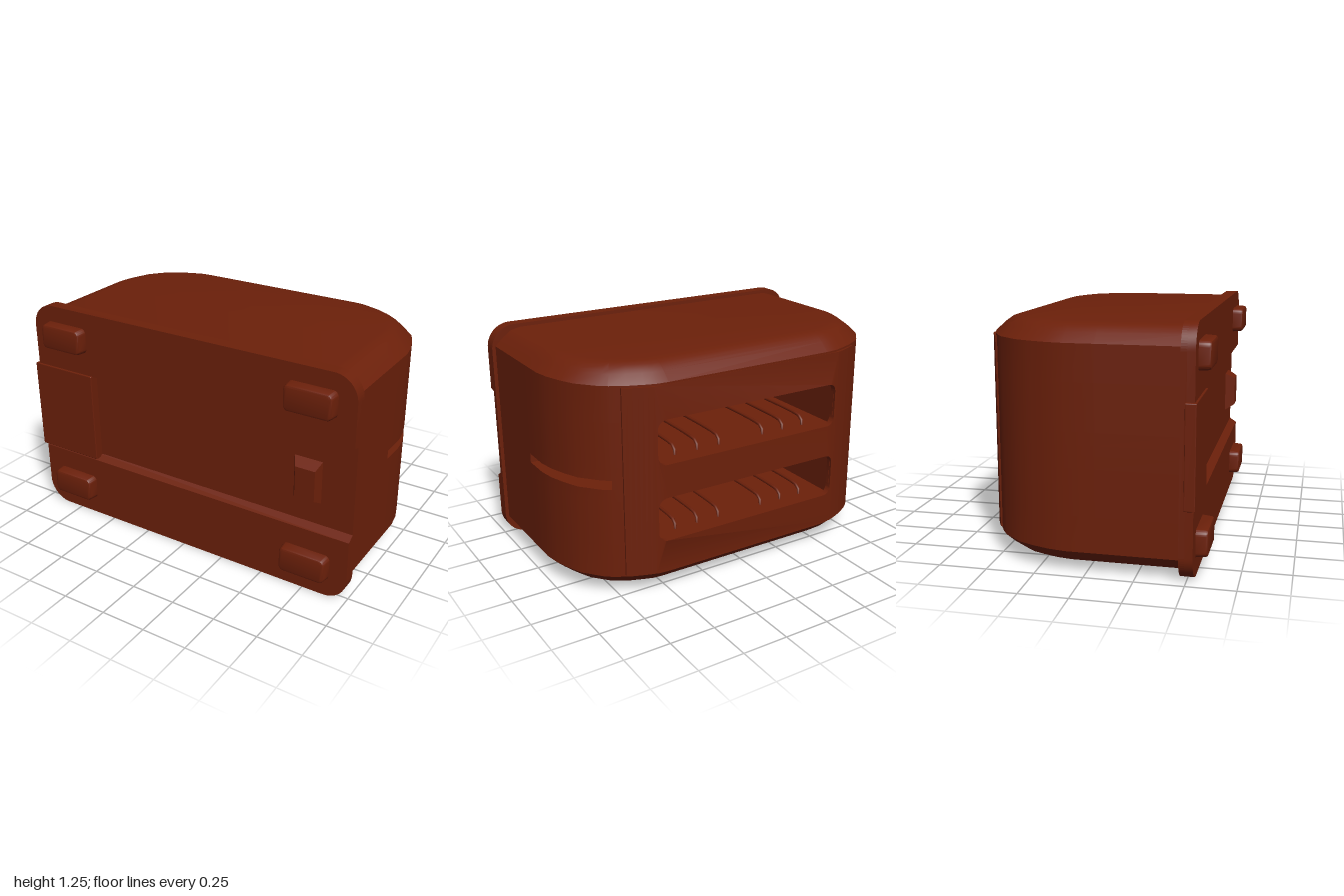
import * as THREE from 'three';
import { toCreasedNormals } from 'three/addons/utils/BufferGeometryUtils.js';

const CX = 0.0075, CY = 0.63;
const mat = new THREE.MeshStandardMaterial({ color: 0x6c200a });

// Half of the body outline seen along y (x, z), from base to slot side
const half = [[0.98, 0.465], [0.98, 0.055], [0.98, 0.05], [0.98, -0.1], [0.965, -0.19], [0.935, -0.28],
  [0.9, -0.36], [0.815, -0.46], [0.782, -0.484], [0.775, -0.489], [0.70, -0.53], [0.62, -0.56],
  [0.565, -0.577], [0.5, -0.583]];
const outline = [...half, ...half.map(([x, z]) => [2 * CX - x, z]).reverse()];
const SLOTS = [[0.30, 0.54], [0.72, 0.96]];
const SLIT = [0.605, 0.655];

// Outline point i moved inwards by d
function insetPoint(i, d) {
  const a = outline[Math.max(i - 1, 0)], b = outline[Math.min(i + 1, outline.length - 1)];
  const dx = b[0] - a[0], dz = b[1] - a[1], l = Math.hypot(dx, dz);
  return [outline[i][0] + dz / l * d, outline[i][1] - dx / l * d];
}

// Surface following outline points i0..i1 through rows of [y, inset]
function loft(i0, i1, rows, insetAt, skip, caps) {
  const n = i1 - i0 + 1, pos = [], idx = [];
  rows.forEach(([y, d]) => {
    for (let i = i0; i <= i1; i++) {
      const [x, z] = insetPoint(i, insetAt(i, d));
      pos.push(x, y, z);
    }
  });
  const quad = (a, b, c, d) => idx.push(a, b, c, a, c, d);
  for (let j = 0; j < rows.length - 1; j++) {
    for (let i = 0; i < n - 1; i++) {
      if (skip(i, (rows[j][0] + rows[j + 1][0]) / 2)) continue;
      quad(j * n + i, j * n + i + 1, (j + 1) * n + i + 1, (j + 1) * n + i);
    }
  }
  if (caps) {
    const t = (rows.length - 1) * n;
    for (let i = 0; i < n / 2 - 1; i++) {
      quad(t + i, t + i + 1, t + n - 2 - i, t + n - 1 - i);
      quad(n - 1 - i, n - 2 - i, i + 1, i);
    }
  }
  const g = new THREE.BufferGeometry();
  g.setAttribute('position', new THREE.Float32BufferAttribute(pos, 3));
  g.setIndex(idx);
  return toCreasedNormals(g, 0.6);
}

// Rounded rectangle; r = [bottom left, bottom right, top right, top left]
function roundRect(s, x0, y0, x1, y1, r) {
  const [a, b, c, d] = Array.isArray(r) ? r : [r, r, r, r], P = Math.PI;
  s.moveTo(x0 + a, y0).lineTo(x1 - b, y0);
  if (b) s.absarc(x1 - b, y0 + b, b, -P / 2, 0);
  s.lineTo(x1, y1 - c);
  if (c) s.absarc(x1 - c, y1 - c, c, 0, P / 2);
  s.lineTo(x0 + d, y1);
  if (d) s.absarc(x0 + d, y1 - d, d, P / 2, P);
  s.lineTo(x0, y0 + a);
  if (a) s.absarc(x0 + a, y0 + a, a, P, P * 1.5);
  return s;
}

// Extrude a shape between z0 and z1, keeping bevels inside its size
function slab(shape, z0, z1, bevel = 0) {
  const g = new THREE.ExtrudeGeometry(shape, {
    depth: z1 - z0 - 2 * bevel, curveSegments: 8, bevelEnabled: bevel > 0,
    bevelSize: bevel, bevelThickness: bevel, bevelOffset: -bevel, bevelSegments: 2,
  });
  return g.translate(0, 0, z0 + bevel);
}

// Move vertices by a rule
function reshape(g, rule) {
  const p = g.attributes.position, v = new THREE.Vector3();
  for (let i = 0; i < p.count; i++) {
    rule(v.fromBufferAttribute(p, i));
    p.setXYZ(i, v.x, v.y, v.z);
  }
  return toCreasedNormals(g, 0.6);
}

export function createModel() {
  const model = new THREE.Group();
  const add = (name, geo) => {
    const m = new THREE.Mesh(geo, mat);
    m.name = name;
    model.add(m);
    return m;
  };

  // Body: shell with sloping rounded shoulders and openings for slots and slit
  const shoulder = [[0.025, 0.15], [0.03, 0.122], [0.039, 0.091], [0.057, 0.066], [0.07, 0.048], [0.115, 0]];
  const levels = [...SLOTS[0], ...SLIT, ...SLOTS[1]].map(y => [y, 0]);
  const rows = [...shoulder, ...levels, ...shoulder.map(([y, d]) => [2 * CY - y, d]).reverse()];
  const inSlot = y => SLOTS.some(([a, b]) => y > a && y < b);
  add('body', loft(0, outline.length - 1, rows, (i, d) => d, (i, y) =>
    (i >= 12 && i <= 14 && inSlot(y)) ||
    (i >= 1 && i <= 8 && y > SLIT[0] && y < SLIT[1]), true));

  // Recessed lever slit, closed at both ends
  const [s0, s1] = SLIT;
  add('leverSlit', loft(1, 9, [[s0, 0], [s0, 0.12], [s1, 0.12], [s1, 0]],
    (i, d) => (i === 1 || i === 9 ? 0 : d), () => false, false));

  // Slot panel: pierced centre and two end strips, bent to follow the body
  const bend = v => {
    const a = Math.max(Math.abs(v.x - CX) - 0.53, 0);
    v.z += 0.07 * (a / 0.19) ** 1.4;
  };
  const centre = roundRect(new THREE.Shape(), CX - 0.575, 0.125, CX + 0.575, 1.135, 0);
  SLOTS.forEach(([a, b]) =>
    centre.holes.push(roundRect(new THREE.Path(), CX - 0.56, a, CX + 0.56, b, 0.05)));
  add('slotPanel', reshape(slab(centre, -0.595, -0.56), bend));
  for (const side of [-1, 1]) {
    const strip = new THREE.BoxGeometry(0.145, 1.01, 0.035, 6, 1, 1);
    add('slotPanelEnd', reshape(strip.translate(CX + side * 0.6475, CY, -0.5775), bend));
  }

  // Bread slots: inward-facing wells, open at the mouth, with guide wires
  SLOTS.forEach(([a, b]) => {
    const well = new THREE.BoxGeometry(1.12, b - a, 0.93);
    well.setIndex(Array.from(well.index.array).slice(0, 30).reverse());
    well.computeVertexNormals();
    add('slotWell', well.translate(CX, (a + b) / 2, -0.11));
    for (const [wall, up] of [[a, 1], [b, -1]]) {
      for (const x of [-0.41, -0.275, -0.14, 0.14, 0.275, 0.41]) {
        const path = new THREE.CatmullRomCurve3([[-0.01, -0.5], [0.025, -0.495], [0.045, -0.47],
          [0.052, -0.41], [0.052, 0.36]].map(([h, z]) => new THREE.Vector3(CX + x, wall + up * h, z)));
        add('guideWire', new THREE.TubeGeometry(path, 24, 0.009, 6));
      }
    }
  });

  // Base plate with a channel across it, sloped along the channel edges
  const R = 0.13;
  add('basePlate', slab(roundRect(new THREE.Shape(), -0.98, 0, 1, 1.255, R), 0.465, 0.495));
  const lower = slab(roundRect(new THREE.Shape(), -0.98, 0, 1, 0.39, [R, R, 0, 0]), 0.49, 0.535);
  add('lowerBaseRail', reshape(lower, v => { if (v.z > 0.52 && v.y > 0.38) v.y = 0.36; }));
  const upper = slab(roundRect(new THREE.Shape(), -0.98, 0.88, 1, 1.255, [0, 0, R, R]), 0.49, 0.535);
  add('upperBaseRail', reshape(upper, v => { if (v.z > 0.52 && v.y < 0.885) v.y = 0.89; }));

  // Crumb tray at one end of the channel
  add('crumbTray', slab(roundRect(new THREE.Shape(), -1, 0.37, -0.595, 0.89, 0.006), 0.49, 0.545, 0.004));

  // Cord block: a box tapering outwards
  const block = new THREE.BoxGeometry(0.16, 0.24, 0.06).translate(0.74, 0.63, 0.521);
  add('cordBlock', reshape(block, v => {
    if (v.z < 0.52) return;
    v.x = v.x < 0.74 ? 0.695 : 0.805;
    v.y = v.y < 0.63 ? 0.545 : 0.715;
  }));

  // Four feet, slightly narrower at the tip
  for (const x of [-0.755, 0.765]) {
    for (const y of [0.172, 1.092]) {
      const foot = slab(roundRect(new THREE.Shape(), -0.138, -0.073, 0.138, 0.073, 0.03), 0.51, 0.595, 0.012);
      add('foot', reshape(foot, v => {
        const k = 1 - 1.2 * Math.max(v.z - 0.535, 0);
        v.x *= k;
        v.y *= k;
      })).position.set(x, y, 0);
    }
  }
  return model;
}
